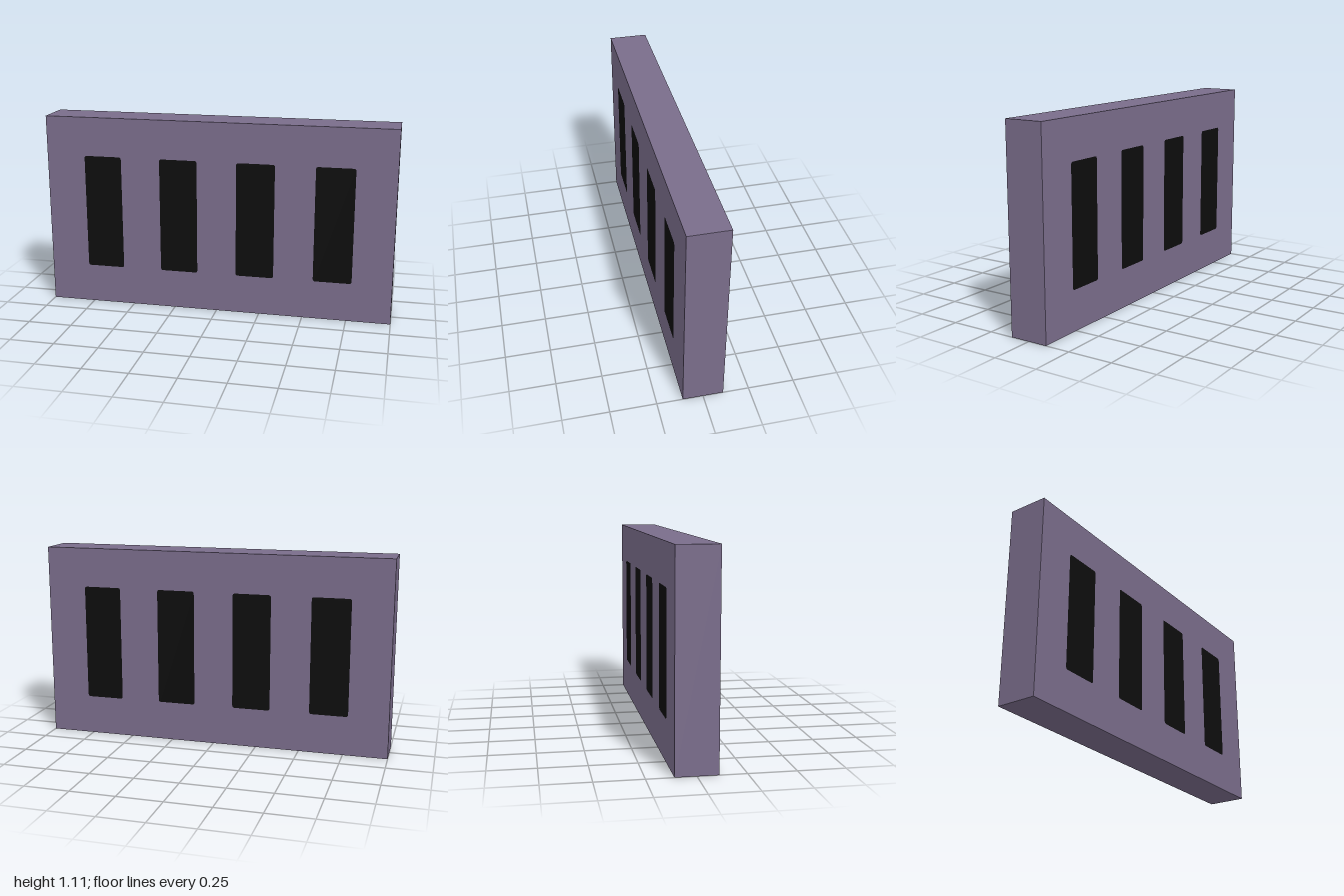
import * as THREE from 'three';

const WIDTH = 2, HEIGHT = 1.11, DEPTH = 0.22;

// Upright panel outline with slightly rounded corners, centred on the origin
function panelShape(w, h, r) {
  const x = w / 2, y = h / 2;
  const s = new THREE.Shape();
  s.moveTo(-x + r, -y);
  s.lineTo(x - r, -y);
  s.quadraticCurveTo(x, -y, x, -y + r);
  s.lineTo(x, y - r);
  s.quadraticCurveTo(x, y, x - r, y);
  s.lineTo(-x + r, y);
  s.quadraticCurveTo(-x, y, -x, y - r);
  s.lineTo(-x, -y + r);
  s.quadraticCurveTo(-x, -y, -x + r, -y);
  return s;
}

export function createModel() {
  const model = new THREE.Group();
  model.name = 'slottedBlock';

  const mauve = new THREE.MeshStandardMaterial({ color: 0x7a6d8b });
  mauve.name = 'mauve';
  const black = new THREE.MeshStandardMaterial({ color: 0x0d0d0d });
  black.name = 'black';

  // Solid slab
  const slab = new THREE.Mesh(new THREE.BoxGeometry(WIDTH, HEIGHT, DEPTH), mauve);
  slab.name = 'slab';
  slab.position.y = HEIGHT / 2;
  model.add(slab);

  // Four painted dark bars on the front and on the back
  const barGeometry = new THREE.ShapeGeometry(panelShape(0.218, 0.662, 0.014), 4);
  for (const side of [1, -1]) {
    for (let i = 0; i < 4; i++) {
      const bar = new THREE.Mesh(barGeometry, black);
      bar.name = (side > 0 ? 'frontBar' : 'backBar') + (i + 1);
      bar.position.set((i - 1.5) * 0.444, HEIGHT / 2, side * (DEPTH / 2 + 0.001));
      if (side < 0) bar.rotation.y = Math.PI;
      model.add(bar);
    }
  }

  return model;
}
